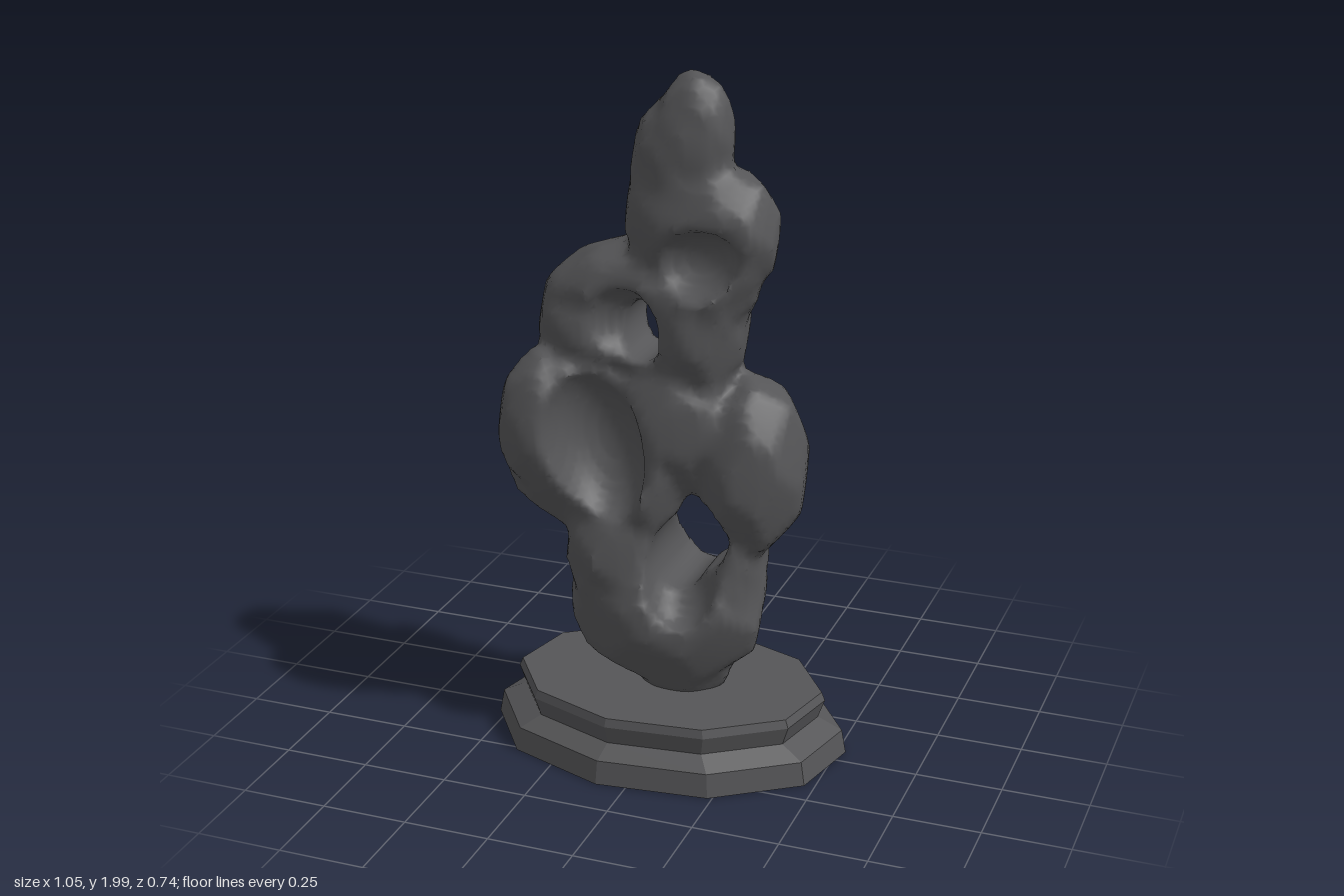
import * as THREE from 'three';

// Each lump: centre x, y, z, radii x, y, z, tilt about z
const LUMPS = [
  [0.09, 1.825, 0.045, 0.105, 0.165, 0.085, 0], // peak
  [0.045, 1.76, 0.035, 0.13, 0.16, 0.105, 0],
  [0.15, 1.56, 0.035, 0.17, 0.18, 0.135, 0], // shoulder
  [0.13, 1.46, 0.03, 0.14, 0.18, 0.14, 0],
  [0.03, 1.6, 0.02, 0.14, 0.2, 0.13, 0],
  [0.1, 1.3, 0, 0.12, 0.22, 0.165, 0], // neck
  [-0.05, 1.31, 0, 0.2, 0.19, 0.155, 0],
  [-0.23, 1.26, -0.02, 0.155, 0.165, 0.16, 0], // upper right-hand arm
  [-0.18, 1.39, -0.02, 0.19, 0.09, 0.15, 0.4],
  [-0.26, 0.93, 0.02, 0.22, 0.28, 0.19, 0], // large side lobes
  [-0.33, 0.98, 0.12, 0.13, 0.2, 0.12, 0],
  [0.245, 0.88, -0.01, 0.15, 0.25, 0.165, 0],
  [0.03, 1.0, 0, 0.18, 0.21, 0.165, 0], // centre
  [-0.06, 0.85, 0.06, 0.12, 0.2, 0.13, 0],
  [-0.14, 0.61, 0.02, 0.15, 0.2, 0.17, 0], // legs around the lower opening
  [0.215, 0.58, -0.02, 0.06, 0.17, 0.13, 0],
  [-0.005, 0.44, 0, 0.28, 0.25, 0.195, 0], // bottom
  [0.04, 0.25, -0.01, 0.14, 0.12, 0.11, 0], // foot
];
const HOLLOWS = [
  [-0.05, 1.265, 0, 0.07, 0.085, 0.5, 0], // upper opening with flared ends
  [-0.09, 1.29, 0.17, 0.105, 0.115, 0.12, 0],
  [-0.01, 1.24, -0.2, 0.13, 0.14, 0.11, 0],
  [0.0, 1.05, -0.22, 0.08, 0.15, 0.08, 0], // groove down the back
  [0.12, 0.675, 0, 0.085, 0.105, 0.5, 0], // lower opening with flared ends
  [0.055, 0.61, 0, 0.075, 0.11, 0.5, 0],
  [0.09, 0.59, 0.18, 0.11, 0.17, 0.12, 0],
  [0.1, 0.66, -0.18, 0.11, 0.15, 0.1, 0],
  [-0.15, 0.945, 0.21, 0.135, 0.235, 0.16, 0.2], // long front scoop
  [0.13, 1.49, 0.19, 0.135, 0.1, 0.12, 0.3], // upper front scoop
];

// Directions of the broad facets on every lump
const FACETS = Array.from({ length: 24 }, (_, i) => {
  const y = 1 - (2 * i + 1) / 24, r = Math.sqrt(1 - y * y), a = i * 2.39996;
  return [r * Math.cos(a), y, r * Math.sin(a)];
});

// Approximate distance to an ellipsoid, partly flattened into facets
function lump([cx, cy, cz, rx, ry, rz, tilt], x, y, z, facet) {
  const c = Math.cos(tilt), s = Math.sin(tilt), dx = x - cx, dy = y - cy;
  const px = (c * dx + s * dy) / rx, py = (c * dy - s * dx) / ry, pz = (z - cz) / rz;
  const len = Math.hypot(px, py, pz) + 1e-6;
  const grad = Math.hypot(px / rx, py / ry, pz / rz) + 1e-6;
  let k = len;
  if (facet && len < 2) {
    let m = 0;
    for (const f of FACETS) m = Math.max(m, f[0] * px + f[1] * py + f[2] * pz);
    k = 0.25 * len + 0.75 * m;
  }
  return len * (k - 1) / grad;
}

function smoothMin(a, b, k) {
  const h = Math.max(k - Math.abs(a - b), 0) / k;
  return Math.min(a, b) - h * h * k / 4;
}

function rockDistance(x, y, z) {
  let d = 1;
  for (const l of LUMPS) d = smoothMin(d, lump(l, x, y, z, true), 0.03);
  let hollow = 1;
  for (const h of HOLLOWS) hollow = smoothMin(hollow, lump(h, x, y, z, false), 0.02);
  return -smoothMin(-d, hollow, 0.006);
}

// Skin the rule with quads on a regular grid
function skin(distance, min, max, step) {
  const n = min.map((v, i) => Math.ceil((max[i] - v) / step) + 1);
  const stride = [1, n[0], n[0] * n[1]];
  const d = new Float32Array(n[0] * n[1] * n[2]);
  const each = (from, fn) => {
    for (let k = from; k < n[2] - from; k++)
      for (let j = from; j < n[1] - from; j++)
        for (let i = from; i < n[0] - from; i++)
          fn([i, j, k], i + j * stride[1] + k * stride[2]);
  };
  each(0, (p, id) => {
    d[id] = distance(...p.map((v, a) => min[a] + v * step));
  });

  // One vertex per crossed cell, at the mean of its edge crossings
  const vertexOf = new Map(), positions = [], index = [];
  each(0, (p, id) => {
    if (p.some((v, a) => v >= n[a] - 1)) return;
    const sum = [0, 0, 0];
    let count = 0;
    for (let a = 0; a < 3; a++) {
      const u = (a + 1) % 3, v = (a + 2) % 3;
      for (let e = 0; e < 4; e++) {
        const s = e & 1, t = e >> 1;
        const q = id + s * stride[u] + t * stride[v];
        const d0 = d[q], d1 = d[q + stride[a]];
        if ((d0 < 0) === (d1 < 0)) continue;
        sum[a] += d0 / (d0 - d1);
        sum[u] += s;
        sum[v] += t;
        count++;
      }
    }
    if (!count) return;
    vertexOf.set(id, positions.length / 3);
    for (let a = 0; a < 3; a++) positions.push(min[a] + (p[a] + sum[a] / count) * step);
  });

  // One quad per crossed grid edge
  each(1, (p, id) => {
    for (let a = 0; a < 3; a++) {
      const inside = d[id] < 0;
      if (inside === (d[id + stride[a]] < 0)) continue;
      const u = stride[(a + 1) % 3], v = stride[(a + 2) % 3];
      const q = [id, id - u, id - u - v, id - v].map((c) => vertexOf.get(c));
      if (!inside) q.reverse();
      index.push(q[0], q[1], q[2], q[0], q[2], q[3]);
    }
  });

  const geometry = new THREE.BufferGeometry();
  geometry.setAttribute('position', new THREE.Float32BufferAttribute(positions, 3));
  geometry.setIndex(index);
  geometry.computeVertexNormals();
  return geometry;
}

// Ten-sided oval plinth with a waist, hollow underneath
function plinthGeometry() {
  const profile = [
    [0, 0.165], [0.42, 0.16], [0.41, 0.105], [0.48, 0.06], [0.49, 0], [0.53, 0],
    [0.517, 0.07], [0.445, 0.105], [0.465, 0.16], [0.455, 0.185], [0, 0.185],
  ].map(([r, y]) => new THREE.Vector2(r, y));
  const lathe = new THREE.LatheGeometry(profile, 10, THREE.MathUtils.degToRad(26.5));
  lathe.scale(1, 1, 0.712);
  const flat = lathe.toNonIndexed();
  flat.computeVertexNormals();
  return flat;
}

export function createModel() {
  const group = new THREE.Group();
  group.name = 'rockSculpture';
  const stone = new THREE.MeshStandardMaterial({ color: 0x555557 });
  stone.name = 'darkStone';

  const rock = new THREE.Mesh(skin(rockDistance, [-0.6, 0.04, -0.32], [0.52, 2.08, 0.34], 0.02), stone);
  rock.name = 'piercedRock';
  const plinth = new THREE.Mesh(plinthGeometry(), stone);
  plinth.name = 'plinth';

  group.add(rock, plinth);
  return group;
}
